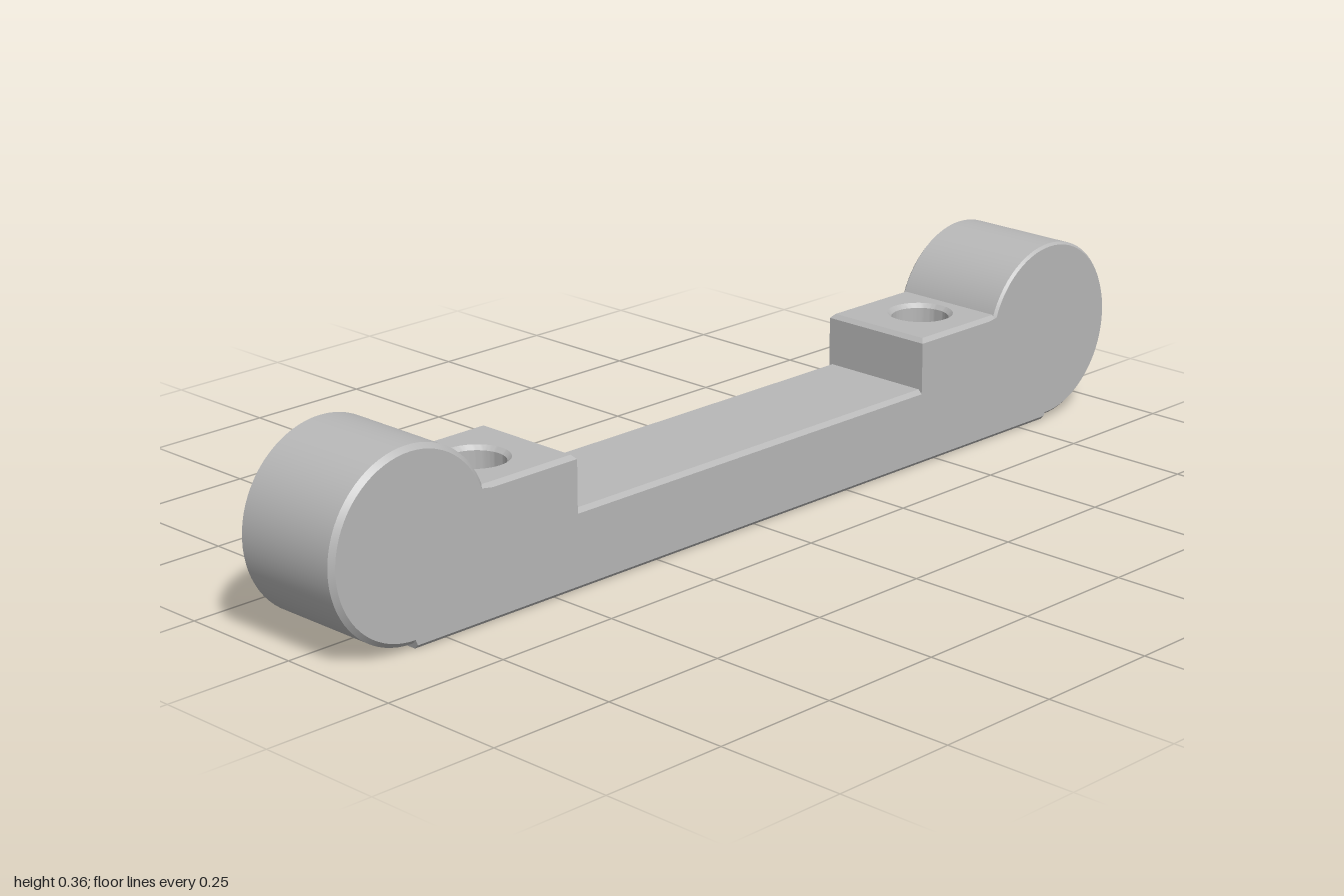
import * as THREE from 'three';
import { toCreasedNormals } from 'three/addons/utils/BufferGeometryUtils.js';

const W = 0.118;            // half depth of the bracket
const C = 0.008;            // edge chamfer
const BOSS = { x: 0.825, y: 0.185, r: 0.175 };
const HOLE = { x: 0.578, r: 0.055 };

// Extrude in three steps, squeezing the outer steps into thin chamfer bands.
// pull(v) moves the vertices of the two end caps.
function chamferedExtrude(shape, depth, pull) {
  const g = new THREE.ExtrudeGeometry(shape, { depth, steps: 3, bevelEnabled: false, curveSegments: 40 });
  const p = g.attributes.position, v = new THREE.Vector3();
  for (let i = 0; i < p.count; i++) {
    v.fromBufferAttribute(p, i);
    const level = Math.round(v.z / depth * 3);
    v.z = [0, C, depth - C, depth][level];
    if (level === 0 || level === 3) pull(v, level === 3);
    p.setXYZ(i, v.x, v.y, v.z);
  }
  return toCreasedNormals(g, 0.5);
}

// Upright block with chamfered long edges and an optional vertical hole
function block(x0, x1, height, hole) {
  const s = new THREE.Shape([[x0, -W], [x1, -W], [x1, W], [x0, W]].map(a => new THREE.Vector2(...a)));
  if (hole) s.holes.push(new THREE.Path().absarc(hole.x, 0, hole.r, 0, Math.PI * 2, true));
  const g = chamferedExtrude(s, height, (v, top) => {
    if (Math.abs(v.y) > W - 1e-5) {
      v.y -= Math.sign(v.y) * C;
      if (hole && top && Math.abs(v.x - x0) < 1e-5) v.x += C;
    } else if (hole) {
      const k = (hole.r + C) / hole.r;
      v.x = hole.x + (v.x - hole.x) * k;
      v.y *= k;
    }
  });
  return g.rotateX(-Math.PI / 2);
}

// Web that blends the pad into the round boss
function web(x0) {
  const s = new THREE.Shape();
  s.moveTo(x0, 0);
  s.lineTo(0.82, 0);
  s.lineTo(BOSS.x, 0.02);
  s.absarc(BOSS.x, BOSS.y, 0.165, -Math.PI / 2, -Math.PI - 0.405, true);
  s.lineTo(x0, 0.25);
  const g = chamferedExtrude(s, 2 * W, v => {
    if (v.y < 1e-5) v.y += C;
    else if (v.y > 0.249) v.y -= C;
  });
  return g.translate(0, 0, -W);
}

// Round boss: closed at the front, bored from the back
function boss(c) {
  const r = BOSS.r;
  const profile = [
    [0, 0.08], [0.108, 0.08], [0.108, -W + 0.01], [0.118, -W],
    [r - c, -W], [r, -W + c], [r, W - c], [r - c, W], [0, W]
  ].map(a => new THREE.Vector2(...a));
  const g = new THREE.LatheGeometry(profile, 72).rotateX(Math.PI / 2);
  return toCreasedNormals(g, 0.5);
}

export function createModel() {
  const group = new THREE.Group();
  const metal = new THREE.MeshStandardMaterial({ color: 0xb8b8b8 });
  metal.name = 'grey metal';
  const add = (name, geometry) => {
    const m = new THREE.Mesh(geometry, metal);
    m.name = name;
    group.add(m);
    return m;
  };

  add('centreBar', block(-0.45, 0.45, 0.15));

  for (const [side, sx] of [['left', 1], ['right', -1]]) {
    const turn = sx > 0 ? 0 : Math.PI;
    add(side + 'ScrewPad', block(0.45, 0.645, 0.25, HOLE)).rotation.y = turn;
    add(side + 'Web', web(0.645)).rotation.y = turn;
    add(side + 'Boss', boss(sx > 0 ? 0.005 : 0.009)).position.set(sx * BOSS.x, BOSS.y, 0);
  }
  return group;
}
